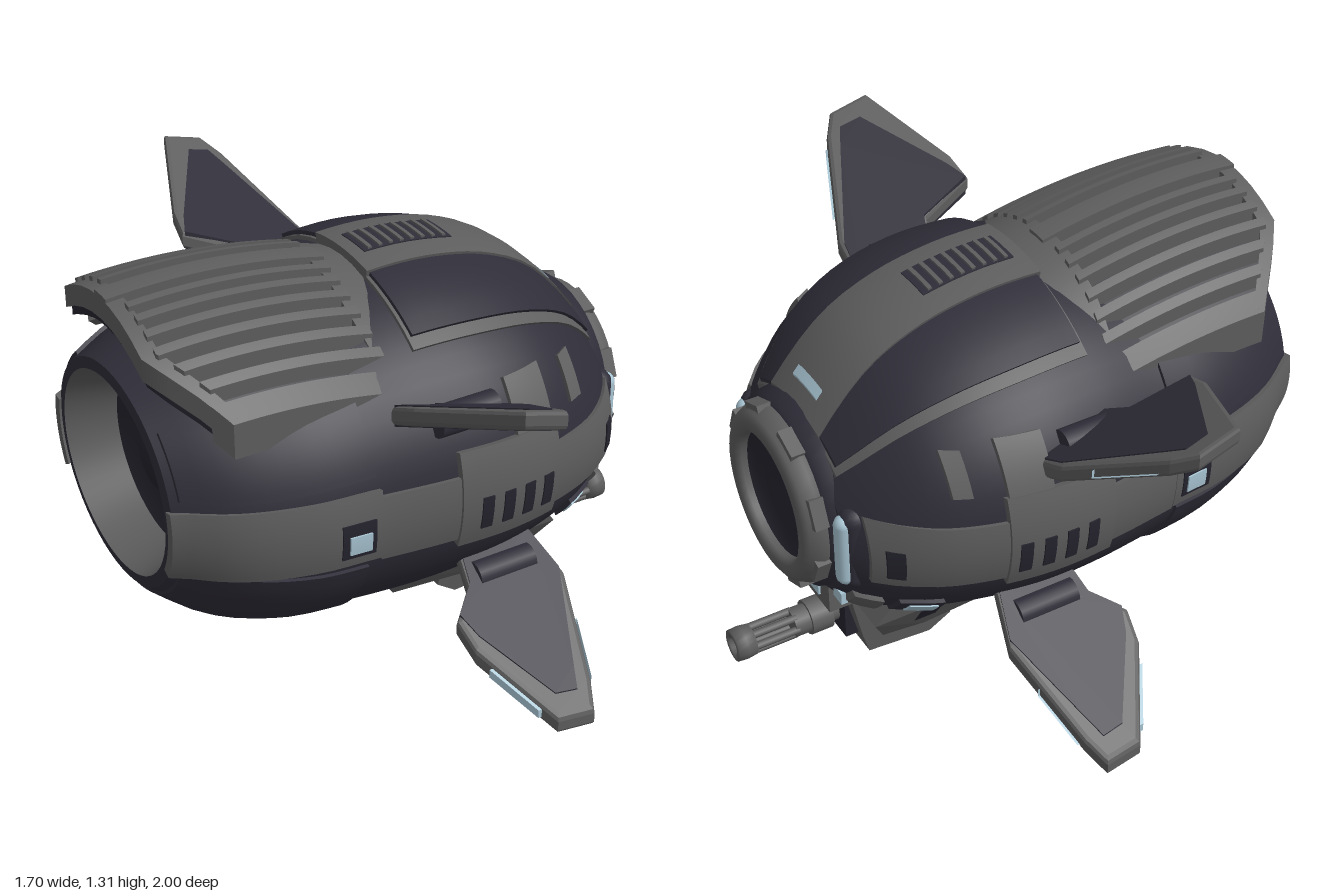
import * as THREE from 'three';

const mat = (name, color, side = THREE.FrontSide) => {
  const m = new THREE.MeshStandardMaterial({ color, side });
  m.name = name;
  return m;
};

export function createModel() {
  const root = new THREE.Group();
  root.name = 'flyingDrone';
  const dark = mat('darkArmour', 0x2f2d38);
  const grey = mat('greyArmour', 0x5e5e5f);
  const black = mat('darkGlass', 0x25242e);
  const light = mat('paleLight', 0xa9c6d4);

  const add = (name, geo, material) => {
    const m = new THREE.Mesh(geo, material);
    m.name = name;
    root.add(m);
    return m;
  };
  // Copy of a geometry reflected in z, with its corners put back in order
  const mirrored = (geo) => {
    const g = geo.index ? geo.toNonIndexed() : geo.clone();
    g.scale(1, 1, -1);
    for (const a of Object.values(g.attributes)) {
      const n = a.itemSize;
      for (let i = 0; i < a.count; i += 3) for (let k = 0; k < n; k++) {
        const p = (i + 1) * n + k, q = (i + 2) * n + k, t = a.array[p];
        a.array[p] = a.array[q];
        a.array[q] = t;
      }
    }
    return g;
  };
  const pair = (name, geo, material) => {
    add(name + 'Left', geo, material);
    add(name + 'Right', mirrored(geo), material);
  };
  const warp = (geo, fn) => {
    const p = geo.attributes.position;
    for (let i = 0; i < p.count; i++) p.setXYZ(i, ...fn(p.getX(i), p.getY(i), p.getZ(i)));
    geo.computeVertexNormals();
    return geo;
  };
  const box = (w, h, d, x, y, z) => new THREE.BoxGeometry(w, h, d).translate(x, y, z);
  const alongX = (geo, x, y, z) => geo.rotateZ(-Math.PI / 2).translate(x, y, z);
  const rod = (x0, x1, r, y, z, n = 16) =>
    alongX(new THREE.CylinderGeometry(r, r, x1 - x0, n), (x0 + x1) / 2, y, z);

  // Hull cross-sections along x: bottom, top, half width
  const stations = new THREE.CubicInterpolant(
    [-0.84, -0.7, -0.5, -0.33, -0.1, 0.1, 0.3, 0.45, 0.6, 0.62],
    [0.42, 1.07, 0.36, 0.31, 1.12, 0.46, 0.235, 1.17, 0.53, 0.215, 1.19, 0.55, 0.205, 1.22, 0.58,
      0.22, 1.215, 0.59, 0.25, 1.17, 0.555, 0.285, 1.09, 0.49, 0.36, 0.93, 0.36, 0.39, 0.9, 0.33], 3);
  const section = (x) => {
    const [b, t, w] = stations.evaluate(x);
    return { c: (b + t) / 2, h: (t - b) / 2, w };
  };
  const skin = (x, a, off = 0, scale = 1, px = x) => {
    const { c, h, w } = section(x);
    return [px, c + (h * scale + off) * Math.sin(a), (w * scale + off) * Math.cos(a)];
  };
  const loft = (rows, n = 56) => {
    const pos = [], idx = [];
    rows.forEach(([x, scale, px]) => {
      for (let j = 0; j < n; j++) pos.push(...skin(x, (j / n) * Math.PI * 2, 0, scale, px));
    });
    for (let i = 0; i < rows.length - 1; i++) for (let j = 0; j < n; j++) {
      const a = i * n + j, b = i * n + (j + 1) % n;
      idx.push(a, a + n, b + n, a, b + n, b);
    }
    const g = new THREE.BufferGeometry();
    g.setAttribute('position', new THREE.Float32BufferAttribute(pos, 3));
    g.setIndex(idx);
    g.computeVertexNormals();
    return g;
  };
  const hullRows = [];
  for (let i = 0; i <= 40; i++) hullRows.push([-0.84 + 1.46 * i / 40, 1]);
  add('hull', loft(hullRows), dark);
  add('frontCap', loft([[0.62, 1], [0.62, 0.5, 0.63], [0.62, 0.001, 0.63]]), dark);
  // Recessed engine opening at the rear
  add('engineLip', loft([[-0.84, 0.9, -0.845], [-0.84, 1]]), dark);
  add('engineWall', loft([[-0.84, 0.78, -0.7], [-0.84, 0.9, -0.845]]), grey);
  add('engineBowl', loft([[-0.84, 0.001, -0.72], [-0.84, 0.28, -0.72], [-0.84, 0.34, -0.66],
    [-0.84, 0.6, -0.67], [-0.84, 0.78, -0.7]]), black);

  // Curved armour panels that follow the hull; lo and hi are angles at each x
  const panel = (x0, x1, lo, hi, off) => {
    const nu = Math.max(1, Math.ceil((x1 - x0) / 0.05));
    return warp(new THREE.BoxGeometry(1, 1, 1, nu, 1, 14), (u, h, v) => {
      const x = x0 + (u + 0.5) * (x1 - x0);
      return skin(x, hi(x) + (v + 0.5) * (lo(x) - hi(x)), h > 0 ? off : -0.012);
    });
  };
  const atY = (y) => (x) => {
    const { c, h } = section(x);
    return Math.asin(THREE.MathUtils.clamp((y - c) / h, -1, 1));
  };
  const atZ = (z) => (x) => Math.acos(THREE.MathUtils.clamp(z / section(x).w, -1, 1));
  const deg = (d) => () => d * Math.PI / 180;
  const sidePanel = (name, x0, x1, y0, y1, off, m) => pair(name, panel(x0, x1, atY(y0), atY(y1), off), m);
  const topPanel = (name, x0, x1, z0, z1, off, m) => add(name, panel(x0, x1, atZ(z1), atZ(z0), off), m);

  pair('rearLowerArmour', panel(-0.82, -0.34, deg(-89), deg(-16), 0.01), dark);
  pair('rearUpperArmour', panel(-0.82, -0.32, deg(17), deg(48), 0.012), dark);
  add('hoodRim', panel(-0.11, 0.6, deg(49), deg(131), 0.012), grey);
  add('hood', panel(-0.1, 0.595, deg(53), deg(127), 0.024), dark);
  topPanel('hoodStripe', -0.11, 0.6, -0.135, 0.135, 0.032, grey);
  topPanel('hoodVentBed', -0.07, 0.22, -0.06, 0.06, 0.035, dark);
  for (let i = 0; i < 8; i++) topPanel('hoodVentBar', -0.055 + i * 0.035, -0.043 + i * 0.035, -0.055, 0.055, 0.041, grey);
  topPanel('hoodLight', 0.545, 0.565, -0.065, 0.065, 0.037, light);
  pair('hoodBolt', new THREE.CylinderGeometry(0.04, 0.045, 0.03, 12).rotateX(0.36).translate(0.01, 1.19, 0.2), dark);

  // Grey waist band with its raised block, slots and lights
  sidePanel('waistBandRear', -0.85, -0.31, 0.6, 0.81, 0.016, grey);
  sidePanel('waistBandFront', -0.31, 0.58, 0.59, 0.79, 0.014, grey);
  sidePanel('waistBlock', -0.08, 0.25, 0.57, 0.86, 0.022, grey);
  sidePanel('shoulderBlock', 0.11, 0.24, 0.86, 1.0, 0.016, grey);
  sidePanel('shoulderTab', 0.33, 0.38, 0.87, 0.98, 0.014, grey);
  for (let i = 0; i < 4; i++) sidePanel('waistSlot', -0.02 + i * 0.07, 0.015 + i * 0.07, 0.62, 0.72, 0.026, black);
  sidePanel('noseSlot', 0.51, 0.55, 0.62, 0.71, 0.019, black);
  sidePanel('waistLampFrame', -0.435, -0.335, 0.63, 0.735, 0.02, black);
  sidePanel('waistLamp', -0.415, -0.35, 0.645, 0.7, 0.025, light);
  sidePanel('cheekLampFrame', 0.39, 0.5, 0.41, 0.49, 0.012, dark);
  sidePanel('cheekLamp', 0.405, 0.475, 0.43, 0.475, 0.017, light);
  sidePanel('cheekTab', 0.54, 0.6, 0.42, 0.5, 0.016, grey);

  // Overhanging rear grille: t runs from its back edge to its front edge
  const grille = (z0, z1, t0, t1, bottom, top) => warp(new THREE.BoxGeometry(1, 1, 1, 14, 1, 14), (u, h, v) => {
    const z = z0 + (v + 0.5) * (z1 - z0);
    const back = -0.845 + Math.max(0, Math.abs(z) - 0.25) * 0.9;
    const x = THREE.MathUtils.lerp(back, -0.11, t0 + (u + 0.5) * (t1 - t0));
    return [x, 1.295 - 0.25 * (x + 0.65) ** 2 - 1.25 * z * z + (h > 0 ? top : bottom), z];
  });
  add('grilleBed', grille(-0.41, 0.41, 0.02, 0.98, -0.09, -0.025), black);
  add('grilleBackFrame', grille(-0.42, 0.42, 0, 0.07, -0.06, 0.005), grey);
  add('grilleFrontFrame', grille(-0.43, 0.43, 0.84, 1, -0.1, 0.005), grey);
  add('grilleSpine', grille(-0.035, 0.035, 0, 0.9, -0.06, 0.015), grey);
  pair('grilleSideFrame', grille(0.385, 0.43, 0, 1, -0.1, 0.005), grey);
  for (let i = 0; i < 6; i++) {
    const z = 0.075 + i * 0.053;
    pair('grilleSlat', grille(z, z + 0.022, 0.05, 0.88, -0.04, 0.018), grey);
  }

  // Nose ring, lens and side lights
  const lathe = (pts) => alongX(new THREE.LatheGeometry(pts.map(([r, x]) => new THREE.Vector2(r, x)), 40), 0, 0.665, 0);
  add('noseNeck', lathe([[0.31, 0.57], [0.29, 0.64], [0.24, 0.65]]), dark);
  add('noseRing', lathe([[0.25, 0.62], [0.27, 0.635], [0.272, 0.66], [0.255, 0.695], [0.235, 0.708], [0.205, 0.708], [0.192, 0.69], [0.19, 0.64]]), grey);
  add('eyeLens', lathe([[0.195, 0.675], [0.17, 0.655], [0.125, 0.645], [0.115, 0.655], [0.09, 0.645], [0.0, 0.635]]), black);
  for (let i = 0; i < 8; i++) {
    const g = box(0.05, 0.03, 0.09, 0.66, 0.263, 0).rotateX(Math.PI / 8 + i * Math.PI / 4);
    add('noseLug', g.translate(0, 0.665, 0), grey);
  }
  const capsule = (r, len) => new THREE.CapsuleGeometry(r, len, 6, 12).translate(0.6, 0.66, 0.305);
  pair('noseLightHousing', capsule(0.045, 0.19).translate(-0.015, 0, 0), dark);
  pair('noseLight', capsule(0.03, 0.18).translate(0.015, 0, 0), light);
  pair('chinLamp', box(0.02, 0.04, 0.05, 0.605, 0.44, 0.24), light);

  // Chin turret: side profiles whose width grows with height
  const wedge = (pts, half) => warp(new THREE.ExtrudeGeometry(
    new THREE.Shape(pts.map(([x, y]) => new THREE.Vector2(x, y))),
    { depth: 2, bevelEnabled: false }).translate(0, 0, -1), (x, y, z) => [x, y, z * half(y)]);
  const podHalf = (y) => THREE.MathUtils.clamp(0.14 + (y - 0.1) * 0.65, 0.14, 0.26);
  add('turretPods', wedge([[-0.1, 0.24], [-0.03, 0.13], [0.28, 0.09], [0.43, 0.12], [0.5, 0.26], [0.44, 0.34], [-0.05, 0.34]], podHalf), grey);
  add('turretBelly', wedge([[0.17, 0.05], [0.24, 0], [0.45, 0.02], [0.475, 0.1], [0.52, 0.28], [0.2, 0.3]],
    (y) => 0.095 + y * 0.15), grey);
  add('turretSocket', box(0.05, 0.15, 0.15, 0.49, 0.165, 0), black);
  pair('turretWindow', warp(new THREE.BoxGeometry(0.075, 0.085, 0.02), (x, y, z) =>
    [x + 0.3, y + 0.19, z - 0.006 + podHalf(y + 0.19)]), black);
  add('chinPlate', box(0.16, 0.1, 0.26, 0.51, 0.32, 0), grey);
  add('chinLight', box(0.008, 0.035, 0.15, 0.593, 0.318, 0), light);

  // Rotary gun
  const gunY = 0.155;
  add('gunMount', rod(0.46, 0.55, 0.04, gunY, 0), grey);
  add('gunCollar', rod(0.54, 0.61, 0.055, gunY, 0), grey);
  add('gunSleeve', rod(0.6, 0.66, 0.045, gunY, 0), grey);
  for (let i = 0; i < 6; i++) {
    const a = i * Math.PI / 3;
    add('gunBarrel', rod(0.65, 0.79, 0.012, gunY + 0.036 * Math.sin(a), 0.036 * Math.cos(a), 8), grey);
  }
  add('gunMuzzle', alongX(new THREE.LatheGeometry([[0.025, -0.03], [0.048, -0.03], [0.052, 0], [0.05, 0.03], [0.028, 0.03], [0.025, -0.03]]
    .map((p) => new THREE.Vector2(...p)), 20), 0.82, gunY, 0), grey);

  // Four fins: outline in x and z, with height given by a sloping plane
  const fin = (name, outline, height, cx, lamps) => {
    const plate = (pts, thick, bevel) => warp(new THREE.ExtrudeGeometry(
      new THREE.Shape(pts.map((p) => new THREE.Vector2(...p))),
      { depth: thick, bevelEnabled: bevel > 0, bevelSize: bevel, bevelThickness: bevel, bevelSegments: 2 })
      .translate(0, 0, -thick / 2), (x, z, t) => [x, height(x, z) - t, z]);
    pair(name + 'Edge', plate(outline, 0.03, 0.014), grey);
    const inset = outline.map(([x, z]) => {
      const f = THREE.MathUtils.clamp(1.04 - (z - 0.6) * 1.1, 0.6, 1.04);
      return [cx + (x - cx) * f, 0.5 + (z - 0.5) * 0.9];
    });
    pair(name + 'Face', plate(inset, 0.066, 0), dark);
    // Light strips set into the fin edges
    lamps.forEach(([x0, z0, x1, z1]) => pair(name + 'Light', warp(new THREE.BoxGeometry(1, 0.026, 0.012), (u, h, v) => {
      const x = x0 + (u + 0.5) * (x1 - x0) - v, z = z0 + (u + 0.5) * (z1 - z0);
      return [x, height(x, z) + h, z];
    }), light));
    pair(name + 'Hinge', rod(cx - 0.09, cx + 0.1, 0.045, height(cx, 0.53), 0.53), dark);
  };
  fin('upperFin', [[-0.1, 0.48], [-0.13, 0.57], [-0.295, 0.61], [-0.285, 0.68], [-0.16, 0.98], [-0.05, 0.985], [-0.01, 0.93], [0.115, 0.63], [0.12, 0.48]],
    (x, z) => 0.99 + 0.47 * (z - 0.6) - 0.3 * (x + 0.05), -0.04,
    [[0.015, 0.91, 0.09, 0.73]]);
  fin('lowerFin', [[0, 0.48], [-0.02, 0.57], [-0.1, 0.64], [-0.09, 0.71], [0.04, 0.92], [0.14, 0.93], [0.17, 0.87], [0.255, 0.61], [0.22, 0.48]],
    (x, z) => 0.42 - 0.68 * (z - 0.5), 0.1,
    [[0.19, 0.86, 0.235, 0.72], [-0.08, 0.76, 0.0, 0.89]]);

  return root;
}
